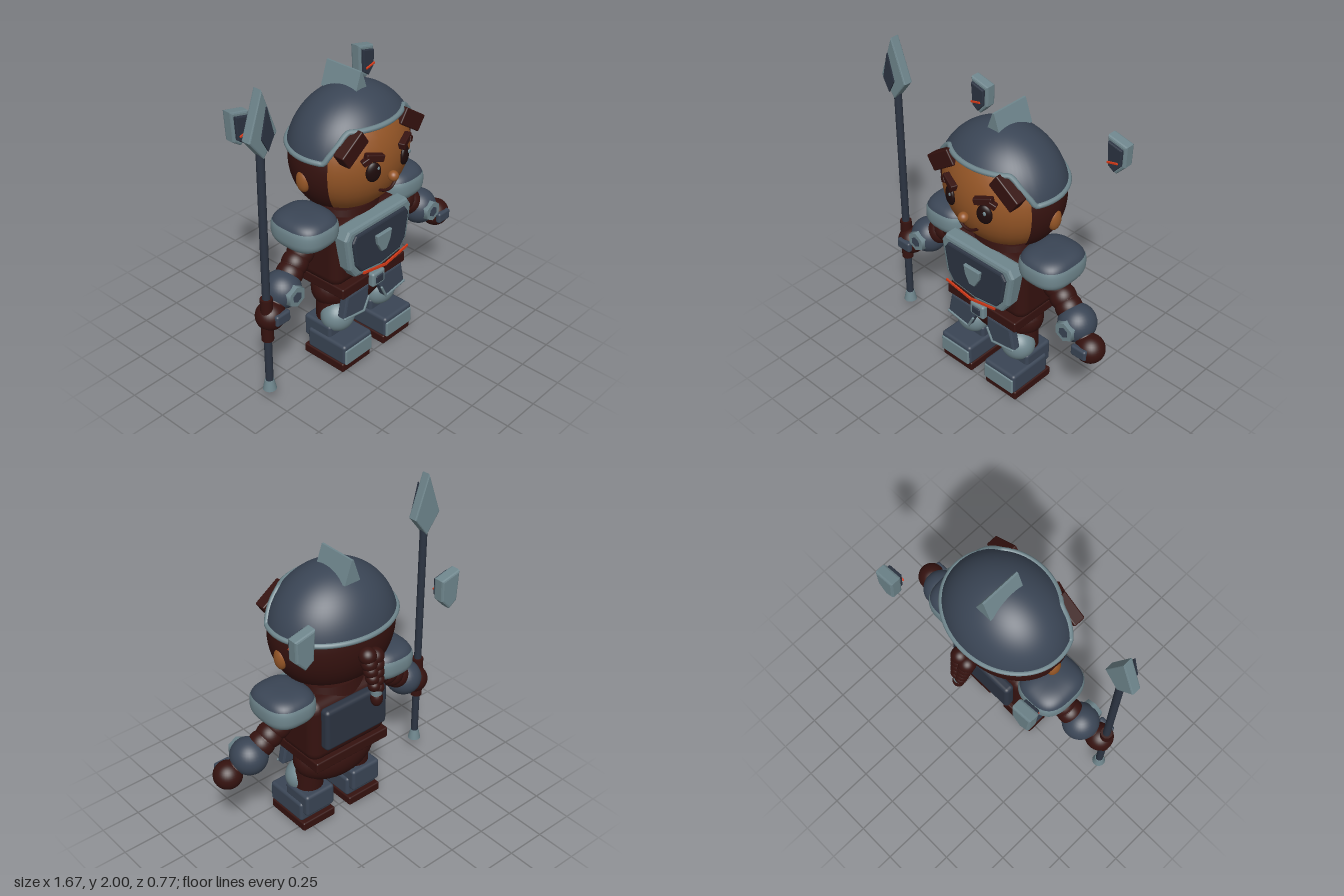
import * as THREE from 'three';
import { mergeVertices } from 'three/addons/utils/BufferGeometryUtils.js';
import { RoundedBoxGeometry } from 'three/addons/geometries/RoundedBoxGeometry.js';

const material = (name, color, side = THREE.FrontSide) => {
  const m = new THREE.MeshStandardMaterial({ color, side });
  m.name = name;
  return m;
};

export function createModel() {
  const blue = material('slate blue', 0x3a4555, THREE.DoubleSide);
  const navy = material('dark navy', 0x2c3442);
  const steel = material('pale steel', 0x6f868d);
  const brown = material('dark brown', 0x35120f, THREE.DoubleSide);
  const skin = material('skin', 0x945526);
  const black = material('eye black', 0x1d0b0b);
  const red = material('glowing red', 0xd63a18);

  const root = new THREE.Group();
  root.name = 'spearGuard';
  const body = new THREE.Group();
  body.name = 'figure';
  body.position.x = 0.018;
  root.add(body);

  const add = (name, geo, mat, x = 0, y = 0, z = 0, parent = body) => {
    const mesh = new THREE.Mesh(geo, mat);
    mesh.name = name;
    mesh.position.set(x, y, z);
    parent.add(mesh);
    return mesh;
  };
  const box = (name, w, h, d, r, mat, x, y, z) =>
    add(name, new RoundedBoxGeometry(w, h, d, 3, r), mat, x, y, z);
  const ball = (name, rx, ry, rz, mat, x, y, z) => {
    const m = add(name, new THREE.SphereGeometry(1, 32, 20), mat, x, y, z);
    m.scale.set(rx, ry, rz);
    return m;
  };
  // Flat plate with bevelled edges between two depths
  const plate = (name, pts, z0, z1, bevel, mat, x = 0, y = 0, s = 1) => {
    const shape = new THREE.Shape(pts.map(([px, py]) => new THREE.Vector2(px * s, py)));
    const geo = new THREE.ExtrudeGeometry(shape, {
      depth: z1 - z0 - 2 * bevel, bevelEnabled: bevel > 0, bevelSize: bevel,
      bevelThickness: bevel, bevelOffset: -bevel, bevelSegments: 2,
    });
    return add(name, geo, mat, x, y, z0 + bevel);
  };
  const tube = (name, pts, r, mat, closed = false, n = 24) => {
    const curve = new THREE.CatmullRomCurve3(pts.map((p) => new THREE.Vector3(...p)), closed);
    return add(name, new THREE.TubeGeometry(curve, n, r, 8, closed), mat);
  };
  const limb = (name, a, b, r, mat) => {
    const p = new THREE.Vector3(...a), q = new THREE.Vector3(...b);
    const m = add(name, new THREE.CapsuleGeometry(r, p.distanceTo(q), 8, 20), mat);
    m.position.copy(p).add(q).multiplyScalar(0.5);
    m.quaternion.setFromUnitVectors(new THREE.Vector3(0, 1, 0), q.sub(p).normalize());
    return m;
  };
  const smooth = (geo) => {
    geo.deleteAttribute('normal');
    geo.deleteAttribute('uv');
    const merged = mergeVertices(geo, 1e-5);
    merged.computeVertexNormals();
    return merged;
  };

  // Head, hair and face
  ball('head', 0.38, 0.355, 0.3, skin, 0, 1.34, 0.04);
  add('hair', new THREE.SphereGeometry(1, 40, 24, Math.PI - 0.48, Math.PI + 0.96, 0, 2.28), brown, 0, 1.34, 0.04)
    .scale.set(0.395, 0.37, 0.315);
  ball('nose', 0.031, 0.031, 0.031, skin, 0, 1.268, 0.355);
  tube('mouth', [[-0.066, 1.19, 0.314], [-0.03, 1.175, 0.322], [0.02, 1.173, 0.323], [0.068, 1.198, 0.316]], 0.009, brown);
  for (const s of [-1, 1]) {
    ball('ear', 0.035, 0.07, 0.046, skin, s * 0.375, 1.272, 0.03);
    ball('eye', 0.047, 0.061, 0.022, black, s * 0.131, 1.335, 0.322).rotation.y = s * 0.35;
    ball('eyeGlint', 0.011, 0.013, 0.006, steel, s * 0.131 + 0.018, 1.357, 0.342);
    const brow = box('brow', 0.115, 0.042, 0.04, 0.006, brown, s * 0.128, 1.427, 0.325);
    brow.rotation.set(0, s * 0.35, s * 0.24);
    const browEnd = box('browEnd', 0.05, 0.036, 0.04, 0.006, brown, s * 0.178, 1.415, 0.31);
    browEnd.rotation.set(0, s * 0.45, -s * 0.5);
    box('forelock', 0.19, 0.1, 0.075, 0.008, brown, s * 0.237, 1.5, 0.255).rotation.z = -s * 0.6;
  }

  // Helmet shell, its lower edge raised over the face
  const edgePoint = (phi, t) => {
    const f = THREE.MathUtils.clamp((Math.sin(phi) - 0.38) / 0.3, 0, 1);
    const theta = t * Math.acos((0.08 + 0.16 * f) / 0.39);
    return [-0.4 * Math.cos(phi) * Math.sin(theta), 1.34 + 0.39 * Math.cos(theta),
      0.04 + 0.335 * Math.sin(phi) * Math.sin(theta)];
  };
  const shell = new THREE.SphereGeometry(1, 80, 20, 0, Math.PI * 2, 0, Math.PI / 2);
  const uv = shell.attributes.uv;
  for (let i = 0; i < uv.count; i++) {
    shell.attributes.position.setXYZ(i, ...edgePoint(uv.getX(i) * Math.PI * 2, 1 - uv.getY(i)));
  }
  add('helmet', smooth(shell), blue);
  const rim = Array.from({ length: 80 }, (_, i) => edgePoint((i / 80) * Math.PI * 2, 1));
  tube('helmetRim', rim, 0.016, steel, true, 160);
  plate('helmetCrest', [[-0.055, 1.68], [0.055, 1.68], [0.006, 1.82], [-0.006, 1.82]], -0.135, 0.115, 0, steel);

  // Braid of paired lumps with a tie
  for (let i = 0; i < 5; i++) {
    const r = 0.052 - i * 0.004, y = 1.29 - i * 0.045, z = -0.295 - i * 0.011;
    for (const s of [-1, 1]) ball('braidLump', r, r, r, brown, s * (0.028 - i * 0.003), y + s * 0.012, z);
  }
  add('braidTie', new THREE.CylinderGeometry(0.032, 0.032, 0.03, 16), steel, 0, 1.075, -0.342);
  ball('braidTip', 0.036, 0.05, 0.036, brown, 0, 1.032, -0.345);

  // Torso, armour and belt
  add('neck', new THREE.CylinderGeometry(0.19, 0.22, 0.12, 32), brown, 0, 0.95, 0.03).scale.z = 0.75;
  box('torso', 0.58, 0.42, 0.33, 0.07, brown, 0, 0.76, 0.03);
  ball('pelvis', 0.285, 0.17, 0.17, brown, 0, 0.45, 0.03);
  box('backPlate', 0.46, 0.28, 0.07, 0.025, navy, 0, 0.8, -0.155);
  const chest = [[-0.25, 0.97], [0.25, 0.97], [0.282, 0.92], [0.25, 0.71], [0.2, 0.64], [0, 0.61],
    [-0.2, 0.64], [-0.25, 0.71], [-0.282, 0.92]];
  plate('chestFrame', chest, 0.16, 0.265, 0.02, steel);
  plate('chestPanel', chest.map(([x, y]) => [x * 0.85, 0.8 + (y - 0.8) * 0.79]), 0.24, 0.282, 0.012, navy);
  plate('chestShield', [[-0.064, 0.87], [0.064, 0.87], [0.053, 0.81], [0.02, 0.752], [-0.02, 0.752],
    [-0.053, 0.81]], 0.28, 0.305, 0.005, steel);
  plate('chestGlowLine', [[-0.195, 0.702], [0, 0.667], [0.195, 0.702], [0.195, 0.688], [0, 0.651],
    [-0.195, 0.688]], 0.31, 0.319, 0, red);
  box('belt', 0.55, 0.07, 0.385, 0.01, brown, 0, 0.537, 0.04);
  box('buckle', 0.11, 0.095, 0.045, 0.015, steel, 0, 0.537, 0.247);
  box('buckleCentre', 0.064, 0.05, 0.02, 0.008, navy, 0, 0.537, 0.268);

  for (const s of [-1, 1]) {
    // Skirt plates
    plate('skirtPlate', [[0.055, 0.51], [0.24, 0.51], [0.27, 0.365], [0.1, 0.335], [0.055, 0.43]],
      0.18, 0.238, 0.012, blue, 0, 0, s);
    limb('skirtTrim', [s * 0.265, 0.365, 0.238], [s * 0.1, 0.34, 0.238], 0.008, steel);
    limb('skirtTrim', [s * 0.1, 0.34, 0.238], [s * 0.06, 0.42, 0.238], 0.008, steel);

    // Legs and boots
    limb('thigh', [s * 0.17, 0.42, 0.04], [s * 0.183, 0.25, 0.05], 0.09, brown);
    ball('kneeGuard', 0.11, 0.105, 0.1, steel, s * 0.183, 0.295, 0.105);
    box('bootShaft', 0.215, 0.15, 0.21, 0.02, blue, s * 0.183, 0.19, 0.035);
    box('boot', 0.245, 0.135, 0.3, 0.02, blue, s * 0.183, 0.125, 0.122);
    box('toePlate', 0.228, 0.105, 0.02, 0.008, steel, s * 0.183, 0.112, 0.27);
    box('sole', 0.247, 0.06, 0.315, 0.01, brown, s * 0.183, 0.03, 0.102);

    // Squared-off shoulder guard in two bands
    for (const [name, start, len, k, mat] of [['shoulderTop', 0, 1.28, 0.985, blue], ['shoulderBase', 1.2, Math.PI - 1.2, 1, steel]]) {
      const geo = new THREE.SphereGeometry(1, 40, 16, 0, Math.PI * 2, start, len);
      const p = geo.attributes.position;
      const square = (v) => Math.sign(v) * Math.abs(v) ** 0.72;
      for (let i = 0; i < p.count; i++) {
        p.setXYZ(i, 0.163 * k * square(p.getX(i)), 0.108 * square(p.getY(i)), 0.184 * k * square(p.getZ(i)));
      }
      add(name, smooth(geo), mat, s * 0.372, 0.972, 0.03);
    }

    // Arms with ringed sleeves, elbow guards and hands
    limb('upperArm', [s * 0.3, 0.9, 0.02], [s * 0.55, 0.72, 0.05], 0.072, brown);
    for (let i = 0; i < 4; i++) {
      ball('sleeveFold', 0.08, 0.08, 0.08, brown, s * (0.36 + i * 0.053), 0.862 - i * 0.041, 0.025 + i * 0.008);
    }
    limb('forearm', [s * 0.6, 0.68, 0.065], [s * 0.72, 0.59, 0.1], 0.06, brown);
    ball('elbowGuard', 0.112, 0.112, 0.115, blue, s * 0.598, 0.68, 0.065);
    const hex = new THREE.CylinderGeometry(0.064, 0.07, 0.04, 6).rotateX(Math.PI / 2);
    add('elbowPlate', hex, steel, s * 0.598, 0.682, 0.166);
    const inner = new THREE.CylinderGeometry(0.034, 0.034, 0.01, 6).rotateX(Math.PI / 2);
    add('elbowPlateCentre', inner, blue, s * 0.598, 0.682, 0.184);
    ball('hand', 0.088, 0.086, 0.086, brown, s * 0.727, 0.587, 0.1);
    box('knucklePlate', 0.106, 0.07, 0.035, 0.014, blue, s * 0.71, 0.597, 0.176);

    // Floating shields behind the shoulders
    const y = s < 0 ? 1.53 : 1.575;
    const guard = [[-0.066, 0.115], [0.066, 0.085], [0.062, -0.045], [0.002, -0.11], [-0.054, -0.072]];
    plate('floatingShield', guard, -0.372, -0.302, 0.012, steel, s * 0.515, y);
    plate('floatingShieldPanel', guard.map(([a, b]) => [a * 0.74, b * 0.78]), -0.305, -0.282, 0.006, navy, s * 0.515, y);
    box('floatingShieldGlow', 0.075, 0.012, 0.009, 0.002, red, s * 0.515, y - 0.02, -0.27).rotation.z = 0.24;
  }

  // Spear
  const sx = -0.763, sz = 0.11;
  add('spearShaft', new THREE.CylinderGeometry(0.023, 0.023, 1.53, 16), navy, sx, 0.885, sz);
  add('spearButt', new THREE.CylinderGeometry(0.027, 0.041, 0.065, 16), steel, sx, 0.124, sz);
  add('spearGrip', new THREE.CylinderGeometry(0.036, 0.036, 0.28, 16), brown, sx, 0.585, sz);
  plate('spearHead', [[0, 2], [0.097, 1.735], [0, 1.61], [-0.097, 1.735]], 0.08, 0.14, 0.008, steel, sx);
  plate('spearInlay', [[0, 1.92], [0.043, 1.75], [0, 1.67], [-0.043, 1.75]], 0.166, 0.175, 0, navy, sx);

  return root;
}
